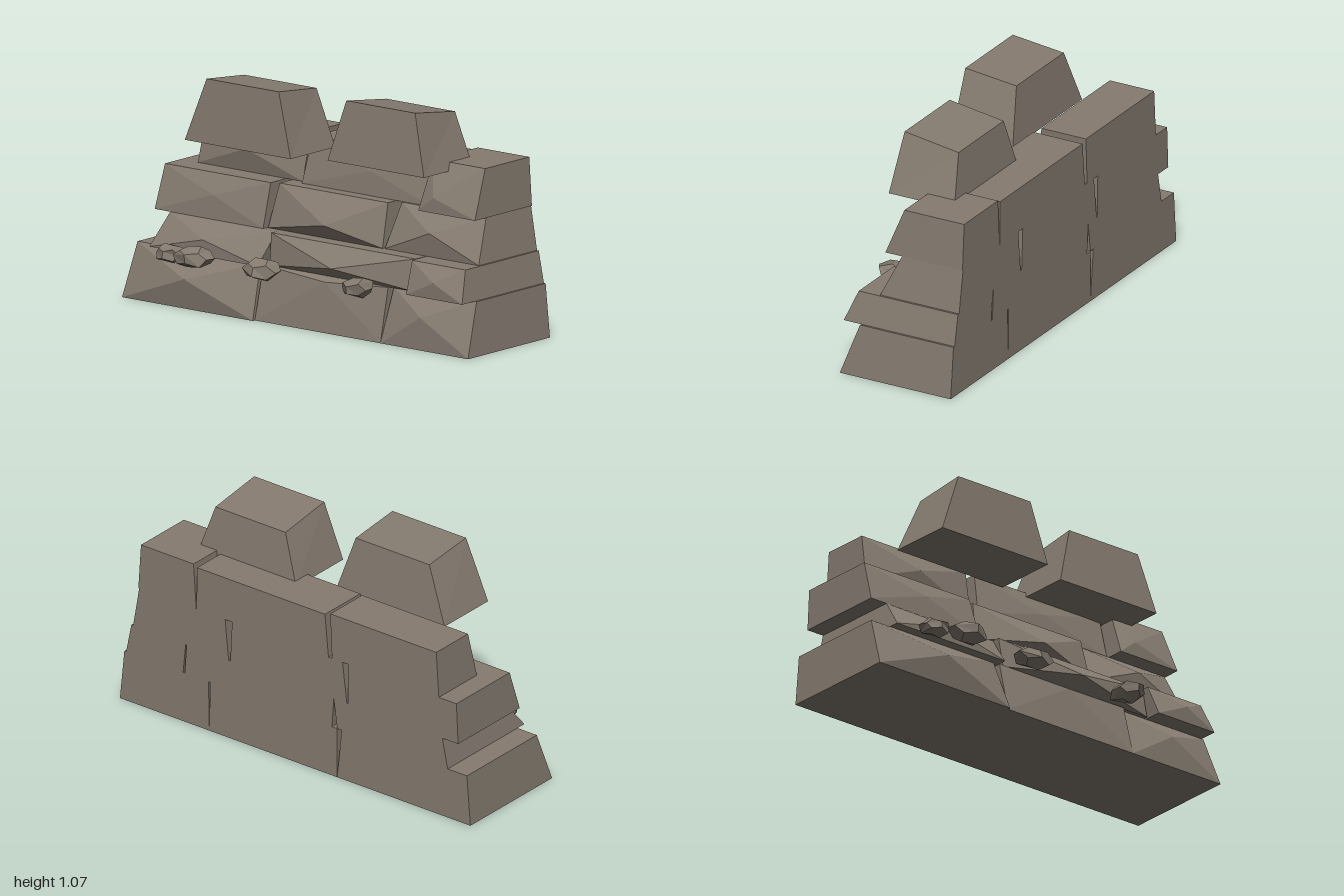
import * as THREE from 'three';

const BACK = -0.365;
const stone = new THREE.MeshStandardMaterial({ color: 0x857b70, flatShading: true });

// Builds a flat-shaded mesh from corner points and triangles.
function facetMesh(name, points, index) {
  const indexed = new THREE.BufferGeometry();
  indexed.setAttribute('position', new THREE.Float32BufferAttribute(points.flat(), 3));
  indexed.setIndex(index);
  const geometry = indexed.toNonIndexed();
  geometry.computeVertexNormals();
  const mesh = new THREE.Mesh(geometry, stone);
  mesh.name = name;
  return mesh;
}

// Tapered block: bottom and top rectangles [x0, x1, zFront, zBack, yFront, yBack],
// with the front face drawn out to a chiselled point.
function block(name, b, t, apex) {
  const ring = ([x0, x1, zf, zb, yf, yb]) => [[x0, yf, zf], [x1, yf, zf], [x1, yb, zb], [x0, yb, zb]];
  const points = [...ring(b), ...ring(t)];
  const index = [0, 2, 1, 0, 3, 2, 4, 5, 6, 4, 6, 7];
  for (let i = apex ? 1 : 0; i < 4; i++) {
    const j = (i + 1) % 4;
    index.push(i, j, j + 4, i, j + 4, i + 4);
  }
  if (apex) {
    points.push(apex);
    index.push(0, 1, 8, 1, 5, 8, 5, 4, 8, 4, 0, 8);
  }
  return facetMesh(name, points, index);
}

// Courses: bottom y, top y, then blocks as
// [bottom x0, x1, top x0, x1, bottom front z, top front z, apex x, y, z]
const courses = [
  [0, 0.245, [
    [-1, -0.24, -0.98, -0.265, 0.225, 0.14, -0.62, 0.14, 0.25],
    [-0.24, 0.49, -0.24, 0.485, 0.21, 0.15, 0.14, 0.225, 0.18],
    [0.49, 1, 0.495, 0.975, 0.21, 0.12, 0.72, 0.15, 0.21],
  ]],
  [0.245, 0.39, [
    [-0.87, -0.24, -0.84, -0.22, 0.19, 0.08, -0.56, 0.32, 0.19],
    [-0.21, 0.63, -0.22, 0.62, 0.14, 0.12, 0.2, 0.3, 0.21],
    [0.64, 0.965, 0.625, 0.935, 0.21, 0.15, 0.8, 0.32, 0.215],
  ]],
  [0.39, 0.59, [
    [-0.93, -0.3, -0.92, -0.305, 0.08, 0.02, -0.6, 0.5, 0.07],
    [-0.295, 0.37, -0.27, 0.36, 0.05, 0, 0.07, 0.46, 0.1],
    [0.38, 0.925, 0.4, 0.89, 0.045, -0.05, 0.65, 0.5, 0.06],
  ]],
  [0.59, 0.812, [
    [-0.82, -0.21, -0.805, -0.2, -0.09, -0.135, -0.52, 0.7, -0.065],
    [-0.19, 0.563, -0.17, 0.56, -0.06, -0.11, 0.2, 0.7, -0.07],
    [0.565, 0.895, 0.58, 0.88, 0.035, -0.055, 0.65, 0.66, 0.035],
  ]],
];

// Repeatable jitter derived from a vertex position.
function jitter(x, y, z, seed) {
  const s = Math.sin(x * 12.9 + y * 78.2 + z * 37.7 + seed * 4.1) * 437.5;
  return s - Math.floor(s);
}

// Small lumpy stone with given centre and half sizes.
function pebble(name, centre, half, seed) {
  const geometry = new THREE.DodecahedronGeometry(1);
  const p = geometry.attributes.position;
  for (let i = 0; i < p.count; i++) {
    const v = [p.getX(i), p.getY(i), p.getZ(i)].map((n) => Math.round(n * 100) / 100);
    const k = 0.88 + 0.3 * jitter(...v, seed);
    p.setXYZ(i, v[0] * k, v[1] * k, v[2] * k);
  }
  // Fit the lump to its half sizes
  geometry.center();
  geometry.computeBoundingBox();
  const m = geometry.boundingBox.max;
  geometry.scale(half[0] / m.x, half[1] / m.y, half[2] / m.z);
  geometry.computeVertexNormals();
  const mesh = new THREE.Mesh(geometry, stone);
  mesh.name = name;
  mesh.position.set(...centre);
  return mesh;
}

export function createModel() {
  const wall = new THREE.Group();
  wall.name = 'stoneWall';

  // Stacked courses of chiselled blocks
  courses.forEach(([y0, y1, blocks], row) => {
    const course = new THREE.Group();
    course.name = `course${row + 1}`;
    blocks.forEach(([b0, b1, t0, t1, zb, zt, ...apex], i) => {
      const top = row === 3 && i === 1 ? 0.8 : y1;
      course.add(block(`block${i + 1}`,
        [b0, b1, zb, BACK, y0, y0], [t0, t1, zt, BACK, top, top], apex));
    });
    wall.add(course);
  });

  // Two tapered battlement stones on top
  wall.add(block('rightBattlement',
    [-0.635, -0.02, 0.225, -0.09, 0.775, 0.775], [-0.525, -0.105, 0.205, -0.06, 1.068, 1.04]));
  wall.add(block('leftBattlement',
    [0.125, 0.685, 0.14, -0.2, 0.775, 0.775], [0.205, 0.605, 0.105, -0.175, 1.055, 1.015]));

  // Loose stones sticking out of the lower joint
  [
    [[-0.70, 0.25, 0.255], [0.08, 0.043, 0.05]],
    [[-0.535, 0.262, 0.285], [0.1, 0.053, 0.07]],
    [[-0.145, 0.258, 0.275], [0.1, 0.05, 0.07]],
    [[0.41, 0.255, 0.272], [0.07, 0.047, 0.08]],
  ].forEach(([c, h], i) => wall.add(pebble(`looseStone${i + 1}`, c, h, i + 1)));

  return wall;
}
